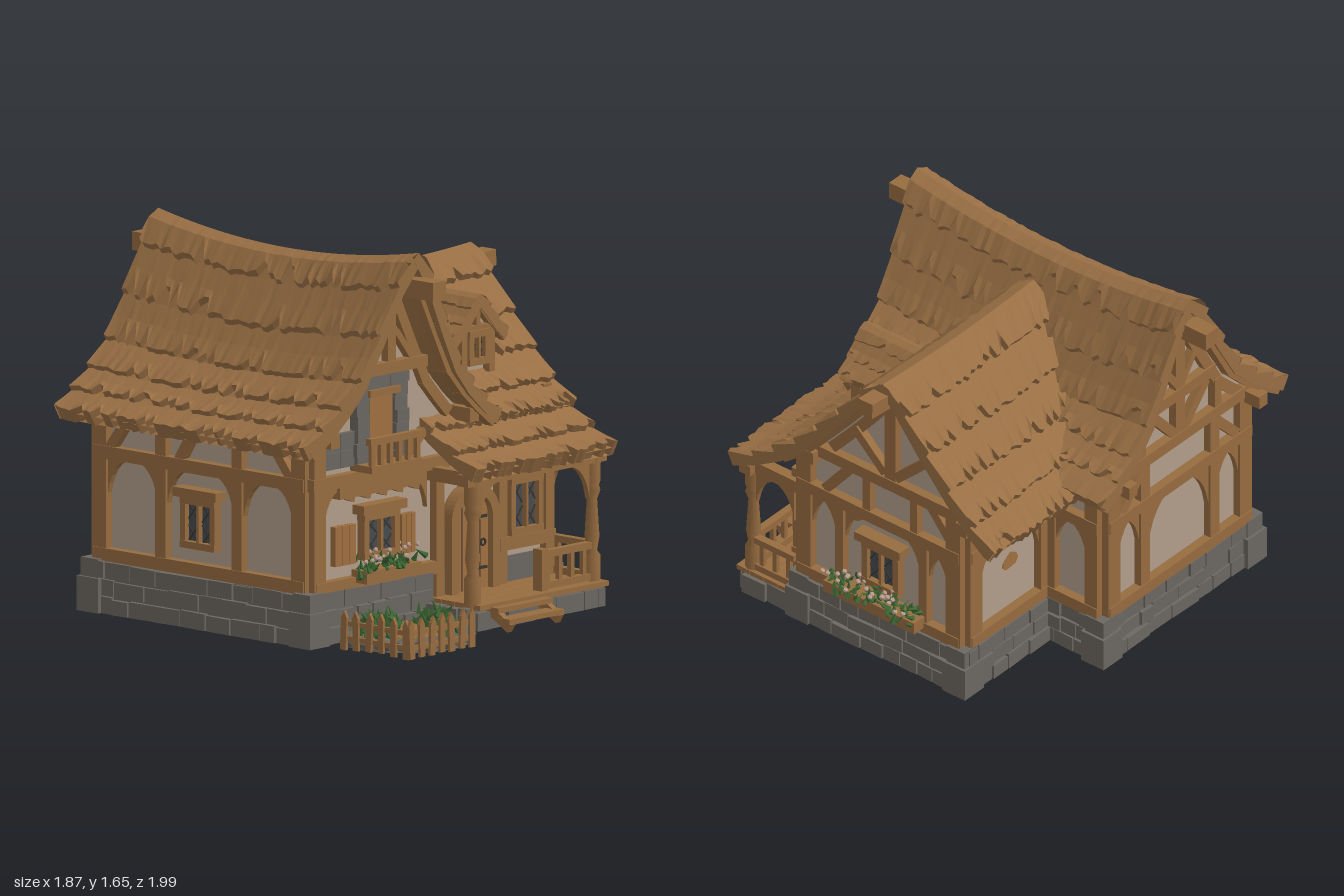
import * as THREE from 'three';

const M = (name, color, side = THREE.FrontSide) => new THREE.MeshStandardMaterial({ name, color, side });
let seed = 7;
const rnd = (a = 0, b = 1) => { seed = (seed * 16807) % 2147483647; return a + (b - a) * seed / 2147483647; };

export function createModel() {
  const model = new THREE.Group();
  const wood = M('timber', 0x976c40), thatch = M('thatch', 0x996f44, THREE.DoubleSide), plaster = M('plaster', 0xb29e8b),
    stone = M('stone', 0x6b6761), glass = M('glass', 0x454b4e), leaf = M('leaf', 0x3c6632), petal = M('petal', 0xc0a090),
    iron = M('iron', 0x3a3632), moss = M('moss', 0x696748), plank = M('plank', 0xa0703f);

  const group = (name, parent = model) => { const g = new THREE.Group(); g.name = name; parent.add(g); return g; };
  const add = (p, name, geo, mat, x = 0, y = 0, z = 0) => {
    const m = new THREE.Mesh(geo, mat); m.name = name; m.position.set(x, y, z); p.add(m); return m;
  };
  const box = (p, name, mat, x, y, z, w, h, d) => add(p, name, new THREE.BoxGeometry(w, h, d), mat, x, y, z);
  // Beam lying on a wall, between two points of the wall plane
  const beam = (p, u1, y1, u2, y2, w = 0.05, d = 0.05, z = 0.012, mat = wood, name = 'beam') => {
    const m = box(p, name, mat, (u1 + u2) / 2, (y1 + y2) / 2, z, Math.hypot(u2 - u1, y2 - y1), w, d);
    m.rotation.z = Math.atan2(y2 - y1, u2 - u1); return m;
  };
  // Beam between any two points
  const strut = (p, name, a, b, w, h) => {
    const m = box(p, name, wood, 0, 0, 0, w, h, a.distanceTo(b) + 0.02);
    m.position.copy(a).lerp(b, 0.5); m.lookAt(b); return m;
  };
  const interp = (prof, d) => {
    let i = 1; while (i < prof.length - 1 && d > prof[i][0]) i++;
    const [a, b] = [prof[i - 1], prof[i]];
    return a[1] + (b[1] - a[1]) * (d - a[0]) / (b[0] - a[0]);
  };

  // ---------- Thatched roofs: overlapping courses with ragged lower edges ----------
  function slope(name, at, u0, u1, rows, cols, lift = 0.028) {
    const pos = [], quad = (a, b, c, d) => [a, b, c, a, c, d].forEach(v => pos.push(v.x, v.y, v.z));
    const U = (t, k) => u0(t) + (u1(t) - u0(t)) * k;
    for (let i = 0; i < rows; i++) {
      const t0 = i / rows, t1 = (i + 1) / rows, e = [];
      for (let j = 0; j <= cols; j++) {
        const notch = rnd() < 0.2 ? -0.28 : 0;
        e.push({ k: j / cols, t: t1 + (rnd(-0.05, 0.1) + notch) / rows, l: lift * rnd(0.8, 1.15) });
      }
      for (let j = 0; j < cols; j++) {
        const p = e[j], q = e[j + 1], tm = (t0 + t1) / 2, P = (c, t, l) => at(t, U(t, c.k), l);
        quad(P(p, t0, 0), P(q, t0, 0), P(q, tm, q.l / 2), P(p, tm, p.l / 2));
        quad(P(p, tm, p.l / 2), P(q, tm, q.l / 2), P(q, q.t, q.l), P(p, p.t, p.l));
        quad(P(p, p.t, p.l), P(q, q.t, q.l), P(q, q.t, -0.045), P(p, p.t, -0.045));
        // Underside, and the bed seen through the notches
        quad(P(p, t0, -0.045), P(q, t0, -0.045), P(q, t1, -0.045), P(p, t1, -0.045));
        quad(P(p, tm, -0.008), P(q, tm, -0.008), P(q, t1, -0.004), P(p, t1, -0.004));
      }
      for (const k of [0, 1]) quad(at(t0, U(t0, k), 0), at(t1, U(t1, k), lift), at(t1, U(t1, k), -0.045), at(t0, U(t0, k), -0.045));
    }
    const g = new THREE.BufferGeometry();
    g.setAttribute('position', new THREE.Float32BufferAttribute(pos, 3));
    g.computeVertexNormals();
    add(model, name, g, thatch);
  }
  function barge(at, u, n = 6, end = 0.96, lift = -0.04, w = 0.045, h = 0.05) {
    const g = group('bargeBoard');
    for (let i = 0; i < n; i++) strut(g, 'board', at(end * i / n, u, lift), at(end * (i + 1) / n, u, lift), w, h);
  }
  const profA = [[0, 1.575], [0.045, 1.555], [0.09, 1.485], [0.18, 1.325], [0.31, 1.11], [0.45, 0.985], [0.645, 0.87]];
  const atA = s => (t, u, l) => {
    const d = t * 0.645, q = (u + 0.13) / 0.75;
    return new THREE.Vector3(-0.27 + s * (d * (s > 0 ? 0.87 : 1) + l * 0.5), interp(profA, d) + 0.075 * q * q * Math.max(0, 1 - t) + l * 0.85, u);
  };
  const profW = [[0, 1.435], [0.05, 1.41], [0.11, 1.335], [0.22, 1.2], [0.45, 0.945], [0.6, 0.835]];
  const atW = s => (t, u, l) => new THREE.Vector3(u, interp(profW, t * 0.6) + 0.02 * ((u - 0.3) / 0.53) ** 2 * Math.max(0, 1 - t) + l * 0.85, -0.1 + s * (t * 0.6 + l * 0.5));
  const atPorch = (t, u, l) => new THREE.Vector3(u, 0.925 - 0.325 * t + 0.085 * t * t + l * 0.85, 0.36 + 0.39 * t + l * 0.4);
  const profD = [[0, 1.345], [0.03, 1.325], [0.09, 1.245], [0.17, 1.17]];
  const atD = s => (t, u, l) => new THREE.Vector3(0.405 + s * (t * 0.17 + l * 0.5), interp(profD, t * 0.17) + l * 0.85, u);
  for (const s of [-1, 1]) {
    slope('mainRoof', atA(s), t => -0.885 + 0.01 * t, t => 0.62 - 0.05 * t, 6, 60);
    slope('wingRoof', atW(s), t => -0.2 + 0.35 * t, () => 0.825, 5, 40);
    slope('dormerRoof', atD(s), t => 0.02 + 0.1 * t, () => 0.35, 3, 12, 0.013);
    for (const u of [-0.85, 0.55]) barge(atA(s), u);
    for (const u of [-0.8, 0.44]) barge(atA(s), u, 6, 0.72, -0.1);
    barge(atW(s), 0.79);
    barge(atW(s), 0.745, 6, 0.62, -0.1);
    barge(atD(s), 0.33, 2, 1, -0.03, 0.03, 0.035);
  }
  slope('porchRoof', atPorch, () => -0.06, () => 0.815, 3, 40, 0.03);
  box(model, 'ridgeBeam', wood, -0.27, 1.5, 0.57, 0.08, 0.08, 0.34);
  box(model, 'ridgeBeam', wood, -0.27, 1.5, -0.87, 0.08, 0.08, 0.26);
  box(model, 'wingRidgeBeam', wood, 0.8, 1.37, -0.09, 0.26, 0.07, 0.08).rotation.z = 0.08;
  for (const x of [-0.72, 0.14]) for (const z of [0.48, -0.83]) box(model, 'purlin', wood, x, 0.89, z, 0.055, 0.06, 0.16);
  for (const z of [0.32, -0.52]) box(model, 'wingPurlin', wood, 0.75, 0.88, z, 0.13, 0.06, 0.06);

  // ---------- Plaster walls under the roofs ----------
  function gable(name, cx, dl, dr, hl, hr, depth, base = 0.1) {
    const s = new THREE.Shape(); s.moveTo(cx - dl, base);
    for (let i = 0; i <= 10; i++) s.lineTo(cx - dl * (1 - i / 10), hl(dl * (1 - i / 10)));
    for (let i = 1; i <= 10; i++) s.lineTo(cx + dr * i / 10, hr(dr * i / 10));
    s.lineTo(cx + dr, base);
    return add(model, name, new THREE.ExtrudeGeometry(s, { depth, bevelEnabled: false }), plaster);
  }
  const hA = d => interp(profA, d) - 0.045, hW = d => interp(profW, d) - 0.05, hD = d => interp(profD, d) - 0.03;
  gable('mainWalls', -0.27, 0.47, 0.47, hA, d => hA(d / 0.87), 1.22).position.z = -0.79;
  const wing = gable('wingWalls', 0.1, 0.53, 0.38, hW, hW, 0.64); wing.rotation.y = Math.PI / 2; wing.position.x = 0.1;
  gable('dormerWalls', 0.405, 0.1, 0.1, hD, hD, 0.3, 0.99);

  // ---------- Stone footing ----------
  const foot = group('stoneFooting');
  function stones(x1, z1, x2, z2, h, rows) {
    const len = Math.hypot(x2 - x1, z2 - z1), alongX = Math.abs(x2 - x1) > Math.abs(z2 - z1);
    for (let r = 0; r < rows; r++) for (let p = 0; p < len - 0.01;) {
      const l = Math.min(rnd(0.08, 0.18), len - p), k = (p + l / 2) / len, d = rnd(0.045, 0.07), hh = h / rows - rnd(0.004, 0.014);
      const m = box(foot, 'stone', stone, x1 + (x2 - x1) * k, h * r / rows + hh / 2, z1 + (z2 - z1) * k,
        alongX ? l - 0.006 : d, hh, alongX ? d : l - 0.006);
      m.rotation.y = rnd(-0.05, 0.05);
      p += l;
    }
  }
  box(foot, 'mainCore', stone, -0.28, 0.11, -0.18, 1.0, 0.22, 1.26);
  box(foot, 'wingCore', stone, 0.45, 0.11, -0.03, 0.64, 0.22, 0.94);
  box(foot, 'porchCore', stone, 0.38, 0.045, 0.56, 0.8, 0.09, 0.3);
  stones(-0.77, 0.45, -0.02, 0.45, 0.23, 3); stones(-0.77, -0.8, 0.2, -0.8, 0.23, 3);
  stones(-0.77, -0.8, -0.77, 0.44, 0.23, 3); stones(0.21, -0.8, 0.21, -0.5, 0.23, 3);
  stones(0.2, -0.5, 0.77, -0.5, 0.23, 3); stones(0.765, -0.5, 0.765, 0.42, 0.23, 3);
  stones(-0.03, 0.7, 0.78, 0.7, 0.09, 1); stones(0.765, 0.42, 0.765, 0.7, 0.1, 1); stones(-0.03, 0.44, -0.03, 0.7, 0.1, 1);
  for (const [x, z] of [[-0.755, 0.44], [-0.755, -0.785], [0.2, -0.785], [0.745, -0.475], [0.745, 0.39]])
    for (const [y, w, h] of [[0.075, 0.125, 0.15], [0.19, 0.1, 0.08]]) box(foot, 'cornerStone', stone, x, y, z, w, h, w);

  // ---------- Timbered wall faces (local x along the wall, local z outward) ----------
  function face(name, x, z, ry) { const g = group(name); g.position.set(x, 0, z); g.rotation.y = ry; return g; }
  function brace(g, u, y, s, size = 0.12) {
    const sh = new THREE.Shape(); sh.moveTo(0, 0); sh.lineTo(s * size, 0);
    sh.quadraticCurveTo(s * size * 0.2, -size * 0.15, 0, -size * 1.3); sh.closePath();
    add(g, 'archBrace', new THREE.ExtrudeGeometry(sh, { depth: 0.025, bevelEnabled: false, curveSegments: 6 }), wood, u, y, 0);
  }
  function bay(g, u1, u2, top = 0.67) { brace(g, u1, top, 1); brace(g, u2, top, -1); }
  function posts(g, us, y0, y1, w = 0.06) { us.forEach(u => beam(g, u, y0, u, y1, w)); }
  function rails(g, u1, u2, ys) { ys.forEach(y => beam(g, u1, y, u2, y, 0.055, 0.06)); }
  // Worn spot where the plaster has fallen off
  function worn(g, u, y, r) {
    const pts = [];
    for (let i = 0; i < 9; i++) { const a = i * Math.PI * 2 / 9, k = r * rnd(0.6, 1.1); pts.push(new THREE.Vector2(1.4 * k * Math.cos(a), k * Math.sin(a))); }
    add(g, 'wornPlaster', new THREE.ExtrudeGeometry(new THREE.Shape(pts), { depth: 0.005, bevelEnabled: false }), plank, u, y, 0);
  }
  function windowUnit(g, u, y, w, h, lintel = true) {
    const f = group('window', g);
    box(f, 'pane', glass, u, y, 0.016, w, h, 0.008);
    for (const s of [-1, 0, 1]) beam(f, u + s * w / 2, y - h / 2, u + s * w / 2, y + h / 2, s ? 0.03 : 0.014, 0.04, 0.025);
    for (const s of [-1, 1]) beam(f, u - w / 2 - 0.015, y + s * h / 2, u + w / 2 + 0.015, y + s * h / 2, 0.03, 0.045, 0.025);
    for (const c of [-0.25, 0.25]) for (const s of [-1, 1]) for (const k of [-0.25, 0.25])
      beam(f, u + w * (c - 0.2), y + h * (k - s * 0.22), u + w * (c + 0.2), y + h * (k + s * 0.22), 0.006, 0.004, 0.023, iron, 'lattice');
    if (lintel) beam(f, u - w / 2 - 0.04, y + h / 2 + 0.035, u + w / 2 + 0.04, y + h / 2 + 0.035, 0.04, 0.07, 0.03);
  }
  function tuft(g, x, y, z, r) {
    const m = add(g, 'leaves', new THREE.ConeGeometry(r * 0.6, r * 2.4, 4).toNonIndexed(), leaf, x, y, z);
    m.rotation.set(rnd(-1, 1), rnd(0, 3), rnd(-1, 1)); m.geometry.computeVertexNormals();
  }
  function planter(g, u, y, w) {
    const f = group('flowerBox', g);
    box(f, 'trough', wood, u, y, 0.06, w, 0.055, 0.09);
    for (let i = 0; i < w * 170; i++) tuft(f, u + rnd(-0.5, 0.5) * w, y + rnd(0.02, 0.08), rnd(0.02, 0.13), rnd(0.015, 0.027));
    for (let i = 0; i < w * 50; i++) add(f, 'flower', new THREE.IcosahedronGeometry(0.012), petal, u + rnd(-0.48, 0.48) * w, y + rnd(0.06, 0.11), rnd(0.03, 0.14));
  }

  // Front of the main house
  const F = face('frontWall', 0, 0.43, 0);
  posts(F, [-0.715], 0.2, 0.92, 0.07); rails(F, -0.76, 0.74, [0.69]); rails(F, -0.74, 0, [0.24]);
  beam(F, -0.5, 1.14, -0.06, 1.14, 0.05, 0.07); beam(F, -0.27, 1.14, -0.27, 1.5, 0.05);
  for (const s of [-1, 1]) beam(F, -0.27 + s * 0.14, 1.15, -0.27 + s * 0.03, 1.29, 0.03);
  beam(F, -0.19, 0.72, -0.06, 0.84, 0.035); brace(F, -0.68, 0.66, 1); brace(F, -0.04, 0.66, -1); rails(F, -0.6, -0.08, [0.64]);
  for (let i = 0; i < 5; i++) beam(F, -0.56 + i * 0.1, 0.625, -0.5 + i * 0.1, 0.605, 0.03);
  windowUnit(F, -0.34, 0.43, 0.19, 0.17); planter(F, -0.33, 0.27, 0.34); worn(F, 0.4, 0.62, 0.035);
  for (const [u, w] of [[-0.555, 0.13], [-0.165, 0.09]]) for (let i = 0; i < 3; i++)
    box(F, 'shutter', plank, u + (i - 1) * w / 3, 0.41, 0.02, w / 3 - 0.004, 0.17, 0.03);
  // Balcony door with its stone surround
  for (let i = 0; i < 7; i++) for (const u of [-0.455, -0.215])
    box(F, 'surroundStone', stone, u + rnd(-0.008, 0.008), 0.75 + i * 0.058, 0.02, 0.075, 0.057, 0.05);
  for (let i = 0; i < 3; i++) box(F, 'surroundStone', stone, -0.43 + i * 0.095, 1.085, 0.02, 0.094, 0.06, 0.05);
  for (let i = 0; i < 4; i++) box(F, 'patchStone', stone, -0.63 + (i % 2) * 0.1, 0.78 + (i >> 1) * 0.075, 0.008, 0.098, 0.073, 0.035);
  box(F, 'balconyDoor', plank, -0.335, 0.88, 0.02, 0.14, 0.34, 0.03);
  beam(F, -0.43, 1.045, -0.24, 1.045, 0.03, 0.06, 0.03);
  box(F, 'balconyFloor', wood, -0.34, 0.735, 0.07, 0.31, 0.03, 0.12);
  beam(F, -0.5, 0.855, -0.18, 0.855, 0.03, 0.03, 0.115);
  for (let i = 0; i < 6; i++) beam(F, -0.48 + i * 0.056, 0.74, -0.48 + i * 0.056, 0.85, 0.022, 0.02, 0.115);

  // Arched front door and porch window
  const arch = (w, y0, ys) => { const s = new THREE.Shape(); s.moveTo(-w, y0); s.lineTo(w, y0); s.lineTo(w, ys); s.absarc(0, ys, w, 0, Math.PI); s.closePath(); return s; };
  const frame = arch(0.15, 0.1, 0.42); frame.holes.push(arch(0.105, 0.101, 0.42));
  add(F, 'doorFrame', new THREE.ExtrudeGeometry(frame, { depth: 0.06, bevelEnabled: false }), wood, 0.225);
  add(F, 'frontDoor', new THREE.ExtrudeGeometry(arch(0.107, 0.1, 0.42), { depth: 0.03, bevelEnabled: false }), plank, 0.225);
  for (const u of [0.17, 0.225, 0.28]) box(F, 'plankGap', iron, u, 0.3, 0.031, 0.003, 0.38, 0.003);
  for (const y of [0.2, 0.42]) box(F, 'hinge', iron, 0.29, y, 0.034, 0.06, 0.012, 0.008);
  add(F, 'doorHandle', new THREE.TorusGeometry(0.014, 0.005, 6, 12), iron, 0.29, 0.31, 0.04);
  windowUnit(F, 0.56, 0.435, 0.17, 0.22); posts(F, [0.03, 0.42, 0.71], 0.1, 0.66, 0.05); rails(F, 0.4, 0.74, [0.28]);

  // Dormer front
  const D = face('dormerFront', 0.405, 0.3, 0);
  windowUnit(D, 0, 1.115, 0.1, 0.12, false); posts(D, [-0.085, 0.085], 1.0, 1.2, 0.035); beam(D, -0.13, 1.195, 0.13, 1.195, 0.03); beam(D, 0, 1.19, 0, 1.3, 0.025);

  // Right gable of the wing
  const R = face('rightWall', 0.74, 0, Math.PI / 2);
  posts(R, [-0.375, 0.445], 0.22, 0.92, 0.08); posts(R, [-0.18, 0.28], 0.25, 0.67, 0.045); rails(R, -0.41, 0.48, [0.25, 0.69]); rails(R, -0.37, 0.52, [0.905]);
  beam(R, 0.1, 0.9, 0.1, 1.34, 0.06); bay(R, -0.335, -0.205); bay(R, 0.305, 0.405); bay(R, -0.155, 0.255); worn(R, -0.11, 0.63, 0.03);
  for (const s of [-1, 1]) {
    beam(R, 0.1 + s * 0.03, 0.95, 0.1 + s * 0.2, 1.11, 0.045);
    beam(R, 0.1 + s * 0.36, 0.72, 0.1 + s * 0.22, 0.89, 0.045); beam(R, 0.1 + s * 0.13, 0.71, 0.1 + s * 0.13, 0.9, 0.04);
  }
  windowUnit(R, 0.05, 0.45, 0.17, 0.19); planter(R, 0.04, 0.28, 0.5);
  // Right side of the main house behind the wing
  const R2 = face('rearRightWall', 0.2, 0, Math.PI / 2);
  posts(R2, [0.52, 0.755], 0.22, 0.9, 0.07); rails(R2, 0.48, 0.79, [0.25, 0.69]); bay(R2, 0.55, 0.72);
  // Back gable of the main house
  const B = face('backWall', 0, -0.79, Math.PI);
  posts(B, [-0.165, 0.705], 0.22, 0.92, 0.08); posts(B, [0.04, 0.5], 0.25, 0.92); rails(B, -0.2, 0.74, [0.25, 0.69, 0.91]); rails(B, 0.05, 0.5, [1.14]);
  beam(B, 0.27, 0.91, 0.27, 1.5, 0.06); bay(B, -0.125, 0.01); brace(B, 0.07, 0.67, 1, 0.17); brace(B, 0.47, 0.67, -1, 0.17); bay(B, 0.53, 0.665);
  for (const s of [-1, 1]) {
    beam(B, 0.27 + s * 0.03, 0.94, 0.27 + s * 0.18, 1.11, 0.045); beam(B, 0.27, 1.17, 0.27 + s * 0.1, 1.3, 0.035);
    beam(B, 0.27 + s * 0.38, 0.72, 0.27 + s * 0.22, 0.89, 0.045); beam(B, 0.27 + s * 0.25, 0.92, 0.27 + s * 0.25, 1.08, 0.045);
  }
  // Left side of the main house
  const L = face('leftWall', -0.74, 0, -Math.PI / 2);
  posts(L, [-0.755, 0.395], 0.22, 0.92, 0.08); posts(L, [-0.4, 0.04], 0.25, 0.9); rails(L, -0.79, 0.43, [0.25, 0.69, 0.88]);
  bay(L, -0.715, -0.43); bay(L, -0.37, 0.01); bay(L, 0.07, 0.355); windowUnit(L, -0.18, 0.45, 0.17, 0.19);
  for (const [a, b] of [[-0.7, -0.58], [-0.3, -0.2], [0.35, 0.22]]) beam(L, a, 0.71, b, 0.87, 0.045);
  // Back of the wing
  const W = face('wingBackWall', 0, -0.48, Math.PI);
  posts(W, [-0.705, -0.24], 0.22, 0.9, 0.08); rails(W, -0.74, -0.2, [0.25, 0.69, 0.86]); bay(W, -0.665, -0.28); worn(W, -0.45, 0.5, 0.045);

  // ---------- Porch ----------
  const P = group('porch');
  for (let i = 0; i < 4; i++) box(P, 'floorPlank', wood, 0.38, 0.1, 0.48 + i * 0.075, 0.8, 0.022, 0.072);
  const turned = [[0.036, 0], [0.036, 0.12], [0.022, 0.14], [0.032, 0.2], [0.022, 0.36], [0.036, 0.4], [0.03, 0.42], [0.036, 0.44], [0.036, 0.56]].map(p => new THREE.Vector2(...p));
  for (const x of [0.0, 0.74]) {
    add(P, 'porchPost', new THREE.LatheGeometry(turned, 8), wood, x, 0.1, 0.68);
    box(P, 'crossBeam', wood, x, 0.645, 0.56, 0.05, 0.06, 0.3);
  }
  box(P, 'porchBeam', wood, 0.37, 0.645, 0.68, 0.86, 0.05, 0.06);
  const PF = face('porchFront', 0, 0.67, 0); bay(PF, 0.03, 0.71, 0.62);
  const PS = face('porchSide', 0.735, 0, Math.PI / 2); bay(PS, -0.65, -0.44, 0.62);
  const balusters = (g, a, b, n) => { for (const y of [0.13, 0.265]) beam(g, a, y, b, y, 0.03, 0.035); for (let i = 0; i < n; i++) { const u = a + (b - a) * (i + 0.5) / n; beam(g, u, 0.12, u, 0.26, 0.022, 0.02); } };
  balusters(PF, 0.42, 0.72, 4); posts(PF, [0.42], 0.1, 0.29, 0.04); balusters(PS, -0.66, -0.44, 3);
  for (const [y, z] of [[0.085, 0.745], [0.045, 0.81]]) box(P, 'step', wood, 0.22, y, z, 0.34, 0.022, 0.075);
  for (const x of [0.07, 0.37]) strut(P, 'stringer', new THREE.Vector3(x, 0.02, 0.83), new THREE.Vector3(x, 0.085, 0.72), 0.03, 0.04);

  // ---------- Garden and picket fence ----------
  const G = group('garden');
  add(G, 'gardenBed', new THREE.CylinderGeometry(0.27, 0.28, 0.03, 20), stone, -0.39, 0.015, 0.65);
  add(G, 'mossRing', new THREE.CylinderGeometry(0.25, 0.26, 0.012, 20), moss, -0.39, 0.036, 0.65);
  add(G, 'soil', new THREE.CylinderGeometry(0.17, 0.18, 0.012, 14), wood, -0.38, 0.042, 0.65);
  for (let i = 0; i < 12; i++) {
    const a = -0.3 + i * 0.335, s = add(G, 'edgeStone', new THREE.DodecahedronGeometry(0.06), stone, -0.39 + 0.26 * Math.cos(a), 0.03, 0.65 + 0.26 * Math.sin(a));
    s.scale.set(rnd(0.6, 0.8), 0.5, rnd(0.75, 0.95)); s.rotation.y = -a;
  }
  for (const [x, z, r] of [[-0.57, 0.66, 0.09], [-0.26, 0.68, 0.07], [-0.32, 0.8, 0.06], [-0.47, 0.6, 0.06]])
    for (let i = 0; i < 26; i++) tuft(G, x + rnd(-r, r), rnd(0.06, 0.13), z + rnd(-r, r), rnd(0.018, 0.034));
  const picket = new THREE.Shape([[-0.016, 0], [0.016, 0], [0.016, 0.14], [0, 0.17], [-0.016, 0.14]].map(p => new THREE.Vector2(...p)));
  const fence = (g, a, b, n) => {
    for (const y of [0.05, 0.115]) beam(g, a, y, b, y, 0.022, 0.016, 0);
    for (let i = 0; i < n; i++) add(g, 'picket', new THREE.ExtrudeGeometry(picket, { depth: 0.014, bevelEnabled: false }), wood, a + (b - a) * i / (n - 1), rnd(0, 0.014), 0.005).rotation.z = rnd(-0.06, 0.06);
  };
  fence(face('frontFence', 0, 0.97, 0), -0.7, -0.33, 7);
  fence(face('sideFence', -0.7, 0, -Math.PI / 2), 0.6, 0.96, 6);
  return model;
}
